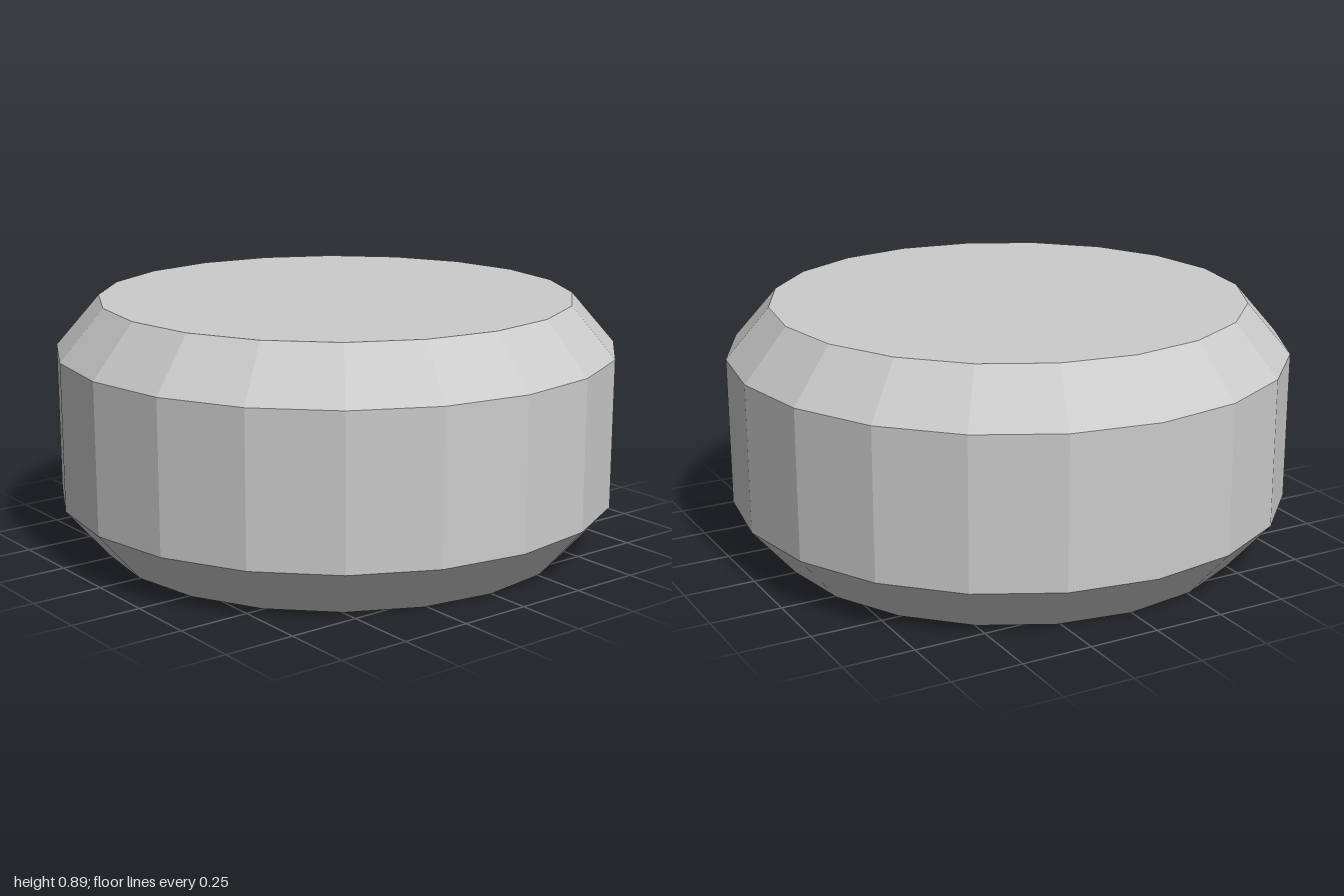
import * as THREE from 'three';

const SIDES = 20;
const HEIGHT = 0.89;
const RIM = 0.845; // radius of the flat ends
const BEVEL = 0.18; // height of each chamfer

export function createModel() {
  const group = new THREE.Group();
  group.name = 'bevelledDisc';
  const material = new THREE.MeshStandardMaterial({ color: 0xcccccc, flatShading: true });

  // Faceted wall with a chamfer at both ends
  const profile = [
    [RIM, 0], [1, BEVEL], [1, HEIGHT - BEVEL], [RIM, HEIGHT],
  ].map(([r, y]) => new THREE.Vector2(r, y));
  const wall = new THREE.Mesh(new THREE.LatheGeometry(profile, SIDES), material);
  wall.name = 'bevelledWall';
  group.add(wall);

  // Flat end faces
  const addCap = (name, y, tilt) => {
    const cap = new THREE.Mesh(new THREE.CircleGeometry(RIM, SIDES), material);
    cap.name = name;
    cap.rotation.x = tilt;
    cap.position.y = y;
    group.add(cap);
  };
  addCap('topFace', HEIGHT, -Math.PI / 2);
  addCap('bottomFace', 0, Math.PI / 2);

  return group;
}
